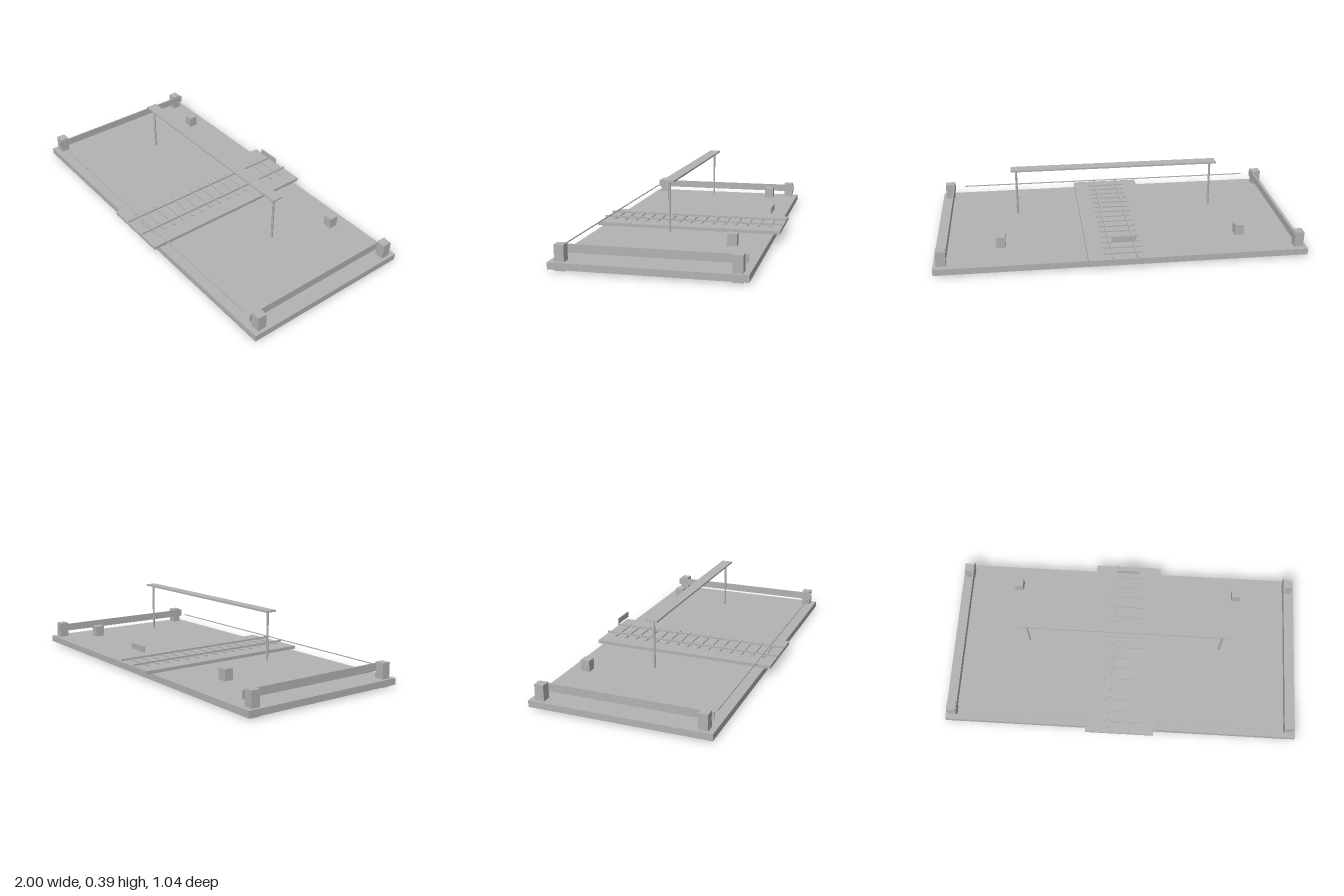
import * as THREE from 'three';

const grey = new THREE.MeshStandardMaterial({ color: 0xb2b2b2 });
grey.name = 'plain grey';

export function createModel() {
  const model = new THREE.Group();
  model.name = 'railCrossing';

  const add = (name, geometry, x, y, z) => {
    const mesh = new THREE.Mesh(geometry, grey);
    mesh.name = name;
    mesh.position.set(x, y, z);
    model.add(mesh);
    return mesh;
  };
  // Box from its size, bottom height and centre
  const box = (name, w, h, d, x, bottom, z) =>
    add(name, new THREE.BoxGeometry(w, h, d), x, bottom + h / 2, z);

  // Ground slab and raised track bed
  box('baseSlab', 2, 0.035, 0.97, 0, 0.01, 0);
  box('trackBed', 0.386, 0.018, 1.036, 0, 0.045, 0);

  // Sleepers
  const sleepers = 15;
  for (let i = 0; i < sleepers; i++) {
    box('sleeper', 0.21, 0.006, 0.012, 0, 0.063, -0.45 + (0.9 * i) / (sleepers - 1));
  }

  for (const side of [-1, 1]) {
    box('rail', 0.008, 0.01, 1.036, side * 0.066, 0.067, 0);

    // Side barrier: a thin board on the inner faces of two corner posts
    box('barrierBoard', 0.006, 0.043, 0.935, side * 0.931, 0.08, 0);
    for (const end of [-1, 1]) {
      box('cornerPost', 0.05, 0.13, 0.05, side * 0.957, 0, end * 0.43);
    }

    // Gantry mast and small cabinet
    add('gantryMast', new THREE.CylinderGeometry(0.006, 0.006, 0.264, 8), side * 0.55, 0.247, 0);
    box('cabinet', 0.05, 0.06, 0.05, side * 0.645, 0.09, -0.343);
  }

  // Overhead beam, front wire and rear sign plate
  box('gantryBeam', 1.16, 0.009, 0.062, 0, 0.378, 0);
  box('frontWire', 1.74, 0.005, 0.005, 0, 0.095, 0.457);
  box('signPlate', 0.13, 0.032, 0.006, 0, 0.13, -0.449);

  return model;
}
